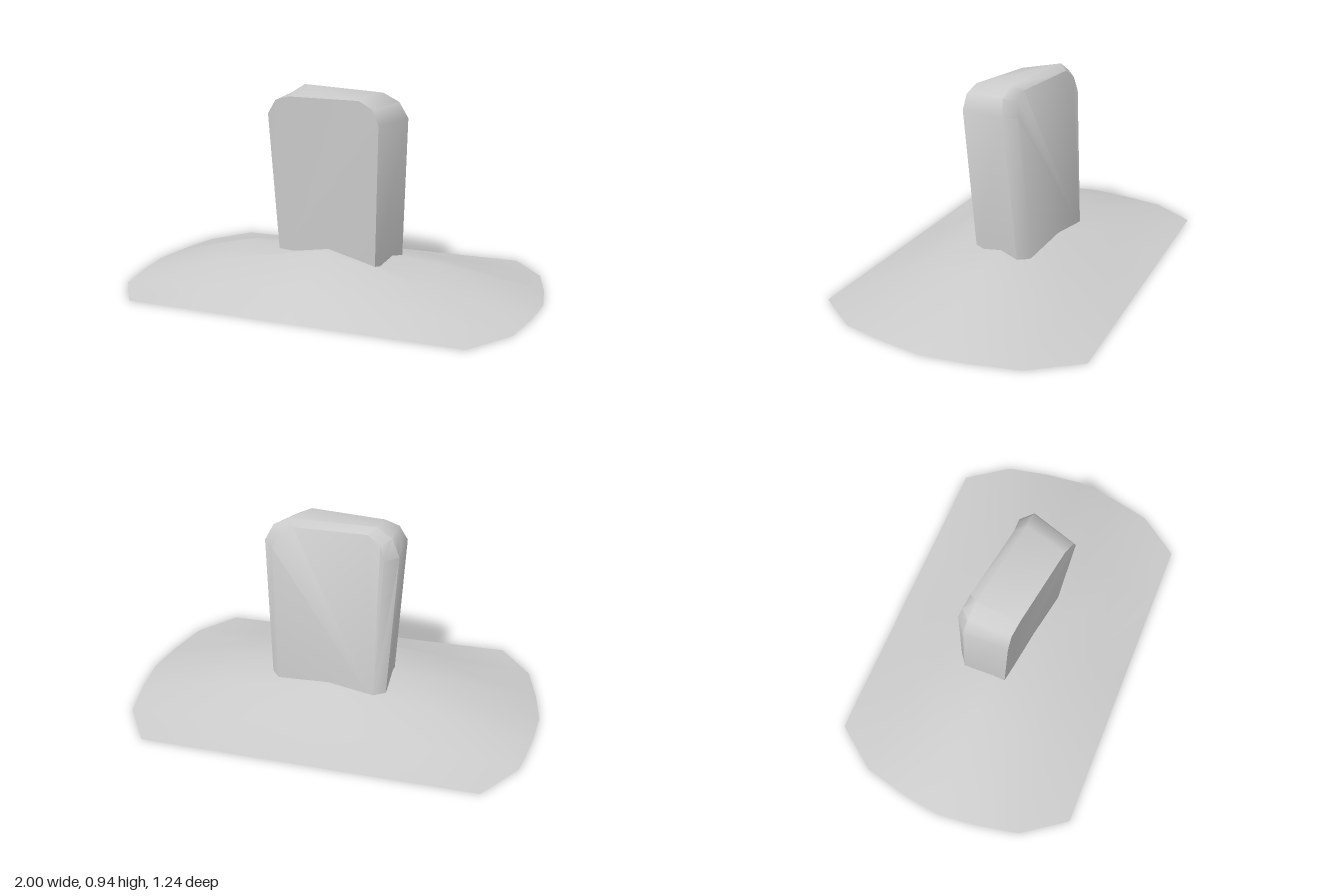
import * as THREE from 'three';
import { toCreasedNormals } from 'three/addons/utils/BufferGeometryUtils.js';

function build(points, index, crease) {
  const g = new THREE.BufferGeometry();
  g.setAttribute('position', new THREE.Float32BufferAttribute(points.flat(), 3));
  g.setIndex(index);
  return toCreasedNormals(g, crease);
}

// Open earth mound: rows along z, five columns across x
function moundGeometry() {
  // each row: z, half width, then heights at x = -0.5, 0, 0.5
  const rows = [
    [-0.62, 0.78, 0, 0, 0],
    [-0.41, 0.93, 0.04, 0.05, 0.037],
    [-0.2, 0.975, 0.11, 0.155, 0.097],
    [0, 1, 0.155, 0.17, 0.14],
    [0.2, 0.975, 0.11, 0.2, 0.088],
    [0.41, 0.93, 0.035, 0.09, 0.045],
    [0.62, 0.78, 0, 0, 0],
  ];
  const points = [];
  for (const [z, w, a, b, c] of rows) {
    points.push([-w, 0, z], [-0.5, a, z], [0, b, z], [0.5, c, z], [w, 0, z]);
  }
  const index = [];
  for (let r = 0; r < rows.length - 1; r++) {
    for (let i = 0; i < 4; i++) {
      const a = r * 5 + i, b = a + 1, c = a + 5, d = a + 6;
      // diagonals run towards the middle of the mound
      if ((r < 3) === (i < 2)) index.push(a, c, d, a, d, b);
      else index.push(a, c, b, b, c, d);
    }
  }
  return build(points, index, 0.8);
}

// Leaning slab: arched outlines for front, rear shoulder and inset back face
function slabGeometry() {
  const rings = [
    [[-0.275, 0.1, 0.06], [-0.31, 0.82, 0.1], [-0.27, 0.885, 0.1], [-0.2, 0.905, 0.11],
      [0.17, 0.905, 0.17], [0.24, 0.87, 0.185], [0.27, 0.8, 0.19], [0.245, 0.1, 0.145]],
    [[-0.275, 0.1, -0.16], [-0.31, 0.82, -0.11], [-0.275, 0.9, -0.1], [-0.2, 0.945, -0.09],
      [0.22, 0.925, -0.03], [0.3, 0.885, -0.025], [0.34, 0.81, -0.04], [0.305, 0.1, -0.095]],
    [[-0.22, 0.1, -0.2], [-0.25, 0.81, -0.16], [-0.23, 0.88, -0.145], [-0.17, 0.92, -0.13],
      [0.19, 0.9, -0.075], [0.25, 0.865, -0.075], [0.29, 0.8, -0.095], [0.26, 0.1, -0.145]],
  ];
  const n = 8, index = [];
  for (let r = 0; r < 2; r++) {
    for (let i = 0; i < n; i++) {
      const a = r * n + i, b = r * n + (i + 1) % n;
      index.push(a, b, a + n, b, b + n, a + n);
    }
  }
  // front and back faces
  for (let i = 1; i < n - 1; i++) {
    index.push(0, i + 1, i);
    index.push(2 * n, 2 * n + i, 2 * n + i + 1);
  }
  return build(rings.flat(), index, 0.9);
}

export function createModel() {
  const group = new THREE.Group();
  group.name = 'gravestone';
  const add = (name, geometry, side) => {
    const mesh = new THREE.Mesh(geometry, new THREE.MeshStandardMaterial({ color: 0xcccccc, side }));
    mesh.name = name;
    group.add(mesh);
  };
  add('earthMound', moundGeometry(), THREE.DoubleSide);
  add('headstone', slabGeometry(), THREE.FrontSide);
  return group;
}
